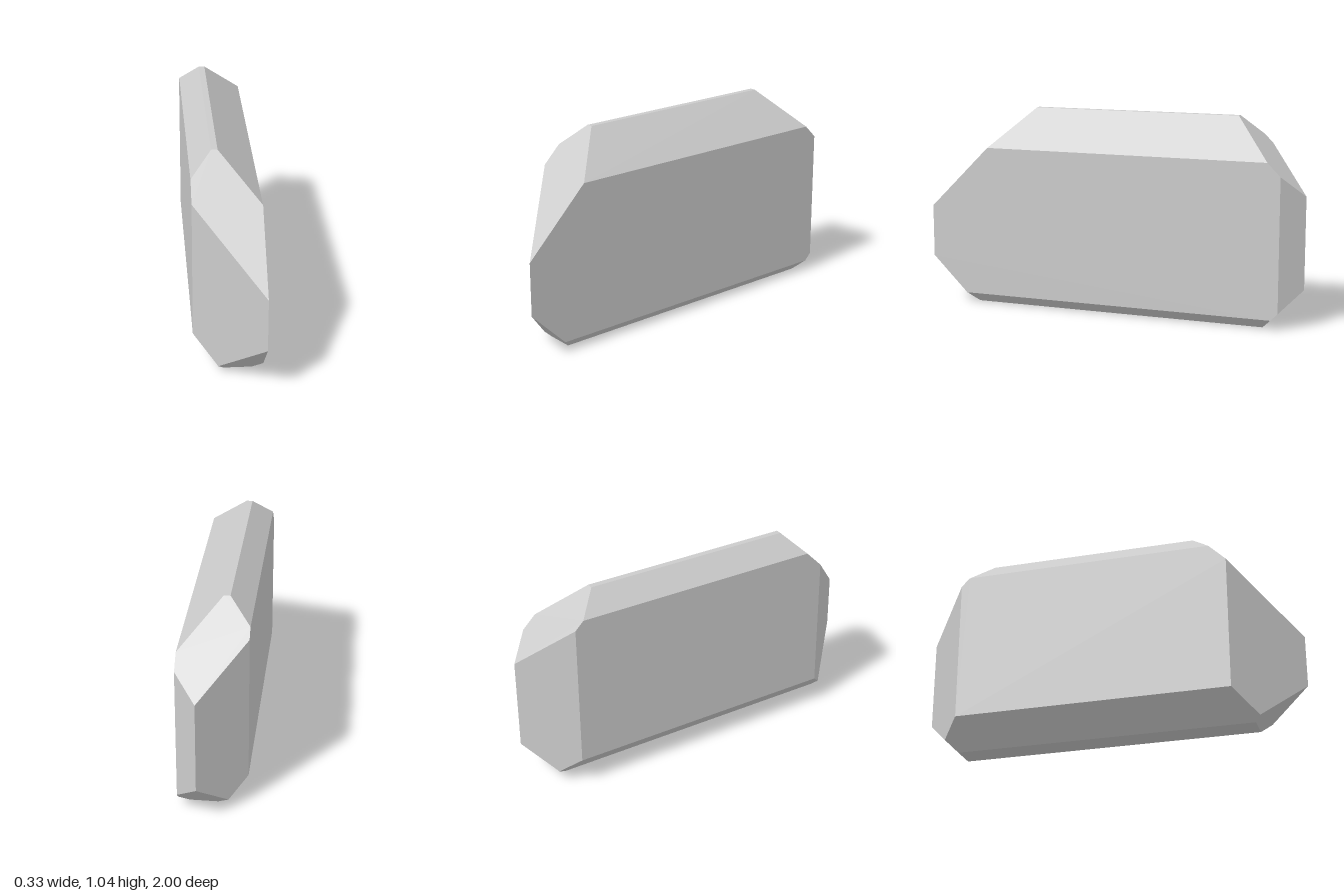
import * as THREE from 'three';

// The block is cut by planes: a*x + b*y + c*z <= d
const PLANES = [
  [1, 0, 0, 0.167], [-1, 0, 0, 0.167],      // broad sides
  [0, 1, 0, 1.041], [0, -1, 0, 0],          // top and bottom strips
  [1, 1, 0, 1.008], [-1, 1, 0, 1.105],      // top bevels
  [1, -1, 0, 0.115], [-1, -1, 0, 0.023],    // bottom bevels
  [-1, 0, 1, 0.833],                        // slanted front
  [0, 1, 1, 1.516], [0, -1, 1, 0.757],      // front upper and lower bevels
  [-1, 0, -1, 0.94], [1, 0, -1, 1.06],      // wedge-shaped back
  [0, 1, -1, 1.667], [0, -1, -1, 0.805],    // back upper and lower bevels
].map(([a, b, c, d]) => {
  const n = new THREE.Vector3(a, b, c), len = n.length();
  return new THREE.Plane(n.divideScalar(len), -d / len);
});

// Point where three planes meet, or null if they do not
function meet(p, q, r) {
  const qr = q.normal.clone().cross(r.normal);
  const det = p.normal.dot(qr);
  if (Math.abs(det) < 1e-6) return null;
  return qr.multiplyScalar(-p.constant)
    .addScaledVector(r.normal.clone().cross(p.normal), -q.constant)
    .addScaledVector(p.normal.clone().cross(q.normal), -r.constant)
    .divideScalar(det);
}

// Corners of the solid: plane meetings that lie inside every other plane
function findCorners(planes) {
  const corners = [];
  for (let i = 0; i < planes.length; i++)
    for (let j = i + 1; j < planes.length; j++)
      for (let k = j + 1; k < planes.length; k++) {
        const v = meet(planes[i], planes[j], planes[k]);
        if (v && planes.every((p) => p.distanceToPoint(v) < 1e-5) &&
          !corners.some((c) => c.distanceTo(v) < 1e-4)) corners.push(v);
      }
  return corners;
}

function cutSolid(planes) {
  const corners = findCorners(planes);
  const positions = [];
  for (const plane of planes) {
    const face = corners.filter((v) => Math.abs(plane.distanceToPoint(v)) < 1e-4);
    if (face.length < 3) continue;
    // Order the corners counter-clockwise about the face normal
    const centre = face.reduce((s, v) => s.add(v), new THREE.Vector3()).divideScalar(face.length);
    const u = face[0].clone().sub(centre).normalize();
    const w = plane.normal.clone().cross(u);
    const angle = (v) => {
      const d = v.clone().sub(centre);
      return Math.atan2(d.dot(w), d.dot(u));
    };
    face.sort((a, b) => angle(a) - angle(b));
    for (let i = 1; i < face.length - 1; i++)
      for (const v of [face[0], face[i], face[i + 1]]) positions.push(v.x, v.y, v.z);
  }
  const geometry = new THREE.BufferGeometry();
  geometry.setAttribute('position', new THREE.Float32BufferAttribute(positions, 3));
  geometry.computeVertexNormals();
  return geometry;
}

export function createModel() {
  const group = new THREE.Group();
  group.name = 'facetedBlock';
  const material = new THREE.MeshStandardMaterial({ color: 0xcccccc, flatShading: true });
  const block = new THREE.Mesh(cutSolid(PLANES), material);
  block.name = 'bevelledSlab';
  group.add(block);
  return group;
}
